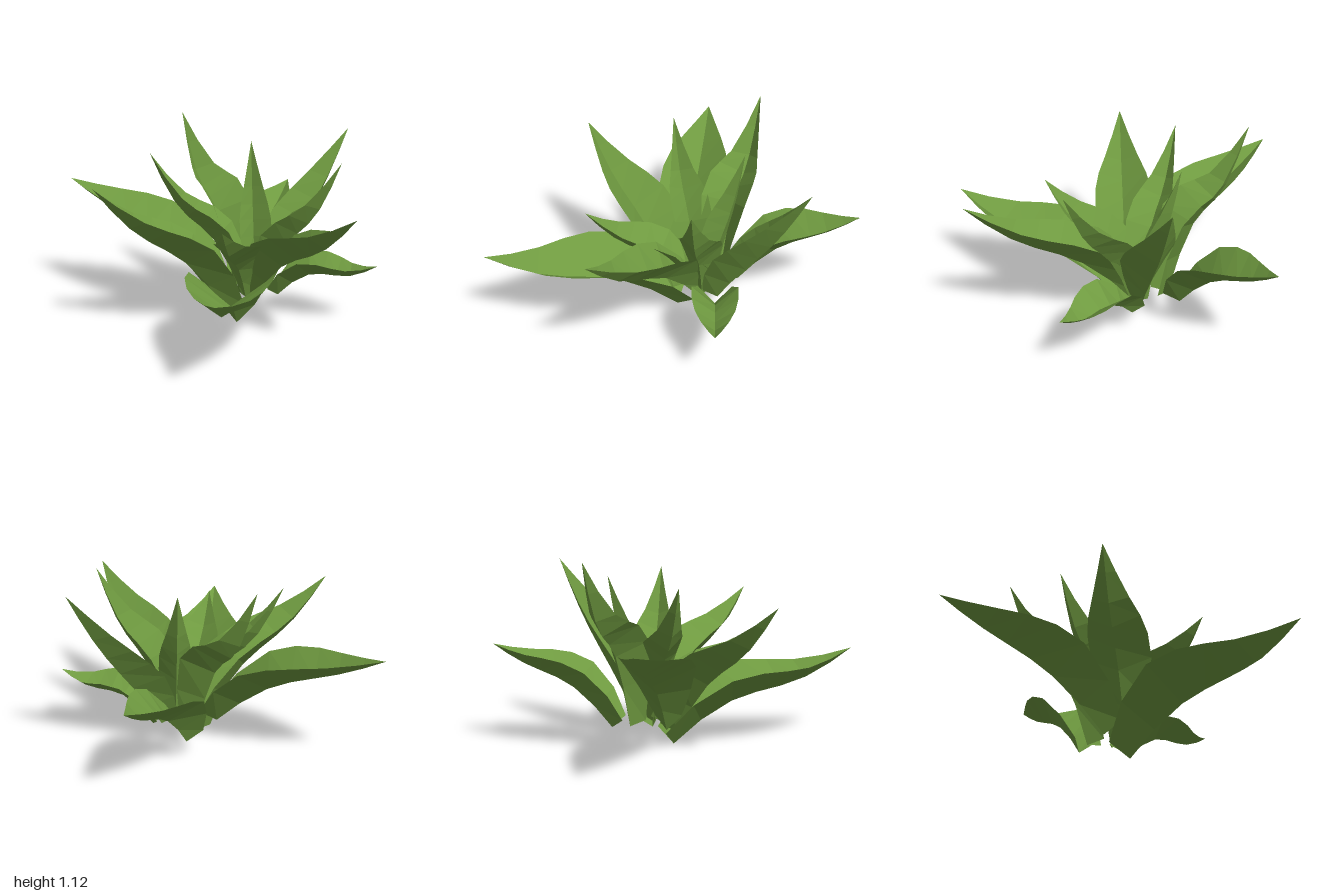
import * as THREE from 'three';

// base point, tip point, half width, arch (upward bow of the keel),
// sway (bow near the base that turns up again at the tip), fold (angle of each blade half)
const LEAVES = {
  frontLeftLeaf: [[0.07, 0, 0.03], [0.89, 0.53, 0.77], 0.3, 0.03, 0.05, 0.55],
  frontLeaf: [[0.04, 0.08, 0.08], [-0.15, 0.89, 0.83], 0.23, 0.02, 0.05, 0.65],
  frontRightLeaf: [[-0.08, 0.12, 0.08], [-1, 0.72, 0.51], 0.26, 0.07, 0.03, 0.6],
  leftLeaf: [[0.04, 0.09, -0.1], [0.99, 0.84, -0.04], 0.22, 0.03, 0.05, 0.75],
  backLeftLeaf: [[0.1, 0.12, -0.25], [0.6, 0.37, -0.57], 0.17, 0.04, 0.04, 0.6],
  backRightLeaf: [[-0.2, 0.12, -0.22], [-0.53, 0.6, -0.83], 0.23, 0.06, 0.03, 0.6],
  backTallLeaf: [[0.04, 0.14, -0.23], [0.06, 1.05, -0.81], 0.21, -0.04, 0.02, 0.75],
  rightTallLeaf: [[-0.16, 0.13, -0.12], [-0.64, 1.12, -0.08], 0.21, 0.03, 0.1, 0.75],
  leftTallLeaf: [[0.08, 0.14, -0.15], [0.51, 0.99, -0.36], 0.18, 0, 0.06, 0.75],
  centreLeaf: [[-0.02, 0.14, -0.17], [-0.18, 1.0, -0.26], 0.14, 0, 0.04, 0.75],
  frontTallLeaf: [[0, 0.13, -0.06], [-0.35, 0.98, 0.34], 0.17, 0.01, 0.07, 0.75],
  frontShortLeaf: [[0.05, 0.13, -0.05], [0.44, 0.71, 0.40], 0.19, 0.02, 0.04, 0.65],
};

// width along the leaf: [fraction of length, fraction of half width]
const OUTLINE = [[0, 0.5], [0.15, 0.8], [0.32, 1], [0.46, 0.95], [0.6, 0.8], [0.74, 0.56], [0.88, 0.27], [1, 0]];

function leafGeometry(base, tip, halfWidth, arch, sway, fold) {
  const a = new THREE.Vector3(...base), b = new THREE.Vector3(...tip);
  const keel = t => {
    const p = a.clone().lerp(b, t);
    p.y += arch * Math.sin(Math.PI * t) + sway * Math.sin(2 * Math.PI * t);
    return p;
  };
  const out = b.clone().sub(a).setY(0).normalize();
  const side = new THREE.Vector3(out.z, 0, -out.x);
  const pos = [], index = [];
  OUTLINE.forEach(([t, f], i) => {
    const p = keel(t);
    const along = keel(t + 0.03).sub(keel(t - 0.03)).normalize();
    const up = along.clone().cross(side).normalize();
    // the base is folded more tightly than the blade
    const angle = fold + 0.3 * (1 - t) ** 3;
    // V-shaped section: edge, keel, edge
    for (const s of [-1, 0, 1]) {
      const w = halfWidth * f * Math.abs(s);
      const q = p.clone()
        .addScaledVector(side, s * w * Math.cos(angle))
        .addScaledVector(up, w * Math.sin(angle));
      pos.push(q.x, q.y, q.z);
    }
    if (i === 0) return;
    const r = (i - 1) * 3;
    for (const k of [r, r + 1]) index.push(k, k + 1, k + 3, k + 1, k + 4, k + 3);
  });
  const g = new THREE.BufferGeometry();
  g.setAttribute('position', new THREE.Float32BufferAttribute(pos, 3));
  g.setIndex(index);
  g.computeVertexNormals();
  return g;
}

export function createModel() {
  const plant = new THREE.Group();
  plant.name = 'plant';
  const green = new THREE.MeshStandardMaterial({ color: 0x6f9a40, flatShading: true, side: THREE.DoubleSide });
  for (const [name, spec] of Object.entries(LEAVES)) {
    const leaf = new THREE.Mesh(leafGeometry(...spec), green);
    leaf.name = name;
    plant.add(leaf);
  }
  return plant;
}
